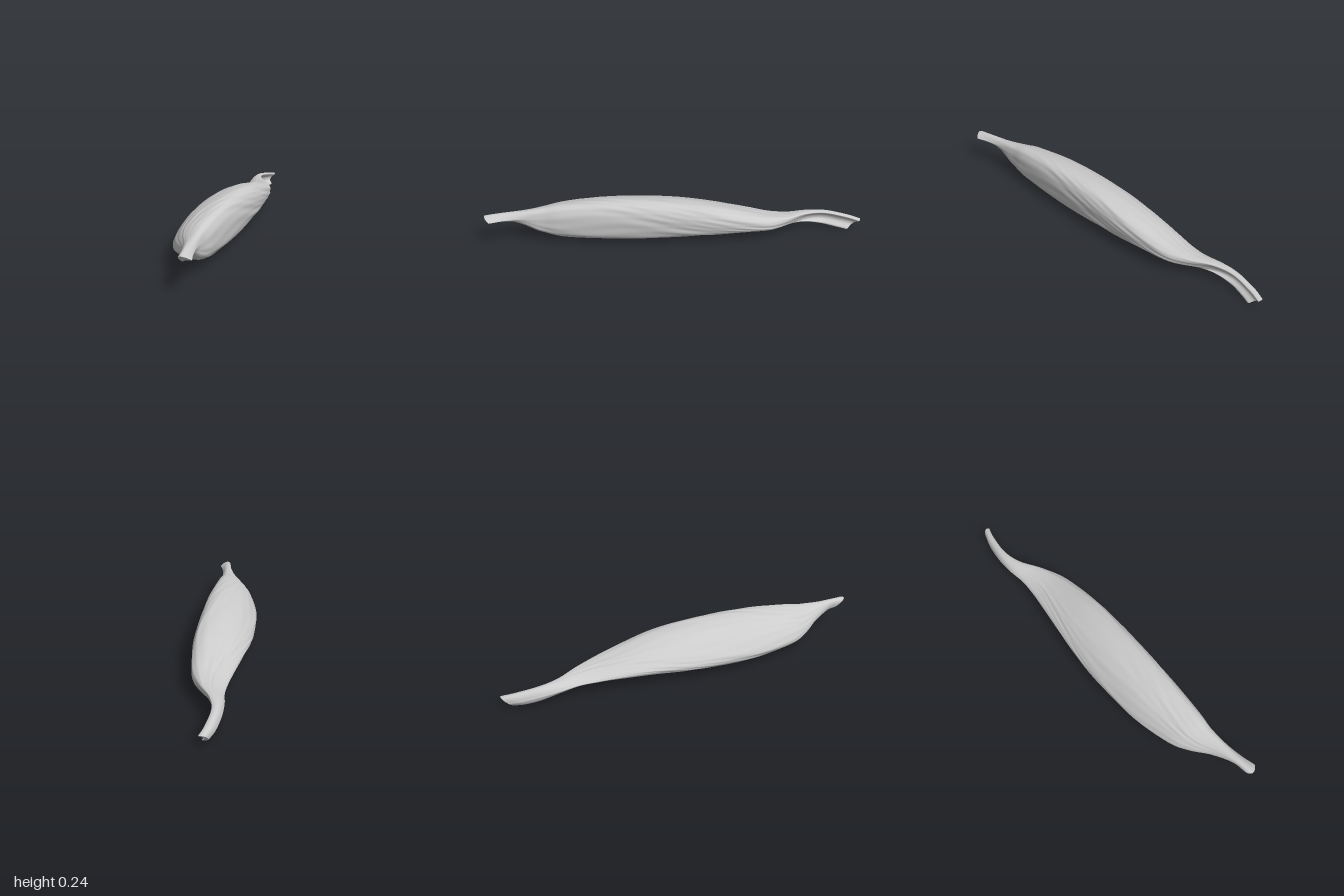
import * as THREE from 'three';

// Stations along the length: z, xMin, xMax, yMin, yMax
const STATIONS = [
  [-0.965, -0.14, -0.097, 0.003, 0.065], [-0.9, -0.157, -0.112, 0.008, 0.08],
  [-0.8, -0.166, -0.118, 0.022, 0.1], [-0.7, -0.16, -0.085, 0.042, 0.108],
  [-0.6, -0.143, -0.015, 0.054, 0.115], [-0.5, -0.142, 0.035, 0.055, 0.131],
  [-0.4, -0.15, 0.062, 0.054, 0.155], [-0.2, -0.166, 0.095, 0.044, 0.205],
  [0, -0.175, 0.11, 0.027, 0.235], [0.2, -0.166, 0.12, 0.018, 0.246],
  [0.4, -0.14, 0.126, 0.018, 0.243], [0.6, -0.085, 0.127, 0.034, 0.224],
  [0.7, -0.03, 0.122, 0.06, 0.207], [0.8, 0.045, 0.13, 0.105, 0.196],
  [0.9, 0.096, 0.152, 0.13, 0.189], [0.97, 0.112, 0.175, 0.136, 0.181],
];

// Matching cross-sections in a unit box, from the left over the top
const BACK = [[0, .45], [.03, .6], [.1, .75], [.25, .9], [.5, 1], [.8, 1], [1, .93],
  [.85, .8], [.6, .65], [.5, .45], [.6, .3], [.9, .12], [.8, 0], [.25, .15]];
const BELLY = [[0, .27], [.03, .42], [.15, .62], [.3, .8], [.5, .93], [.75, 1], [.92, .93],
  [1, .7], [1, .4], [.95, .15], [.8, .02], [.55, 0], [.3, .07], [.08, .14]];
const FRONT = [[0, .3], [0, .55], [.05, .75], [.15, .9], [.35, 1], [.6, .93], [.8, .78],
  [1, .5], [.8, .45], [.6, .4], [.4, .3], [.25, .15], [.1, 0], [.02, .1]];

const ROWS = 220, SIDES = 96;
const { smoothstep } = THREE.MathUtils;

const spline = (points, closed) => new THREE.CatmullRomCurve3(points, closed, 'catmullrom', 0.5);
const sectionCurve = (s) => spline(s.map(([u, v]) => new THREE.Vector3(u, v, 0)), true);

// Low ridges that run obliquely along the fibres
function fibre(angle, z) {
  const bend = angle + 0.9 * z + 0.25 * Math.sin(5 * z + 2 * angle);
  return 0.5 * Math.sin(9 * bend + 3 * z) * Math.sin(6 * z + 3 * angle)
    + 0.5 * Math.sin(17 * bend) * Math.sin(9 * z - 4 * angle + 1);
}

function buildRings() {
  const low = spline(STATIONS.map(([z, x, , y]) => new THREE.Vector3(x, y, z)), false);
  const high = spline(STATIONS.map(([z, , x, , y]) => new THREE.Vector3(x, y, z)), false);
  const curves = [BACK, BELLY, FRONT].map(sectionCurve);
  const rings = [];
  for (let i = 0; i <= ROWS; i++) {
    const lo = low.getPoint(i / ROWS), hi = high.getPoint(i / ROWS), z = lo.z;
    const back = 1 - smoothstep(z, -0.85, -0.5), front = smoothstep(z, 0.72, 0.95);
    const slant = 0.07 * (1 - smoothstep(z, -0.965, -0.75)) * -1 + 0.06 * smoothstep(z, 0.8, 0.97);
    const ridge = 0.0028 * smoothstep(z, -0.8, -0.4) * (1 - smoothstep(z, 0.6, 0.9));
    const ring = [];
    for (let j = 0; j < SIDES; j++) {
      const t = j / SIDES;
      const [b, m, f] = curves.map((c) => c.getPoint(t));
      const p = m.multiplyScalar(1 - back - front).addScaledVector(b, back).addScaledVector(f, front);
      const bump = ridge * fibre(t * Math.PI * 2, z);
      const dx = p.x - 0.5, dy = p.y - 0.5, len = Math.hypot(dx, dy) || 1;
      ring.push(new THREE.Vector3(
        lo.x + p.x * (hi.x - lo.x) + bump * dx / len,
        lo.y + p.y * (hi.y - lo.y) + bump * dy / len,
        z + slant * (p.y - 0.5)));
    }
    rings.push(ring);
  }
  return rings;
}

// Skin stretched over successive rings
function loft(rings) {
  const index = [];
  for (let i = 0; i < ROWS; i++) {
    for (let j = 0; j < SIDES; j++) {
      const k = (j + 1) % SIDES;
      const a = i * SIDES + j, b = i * SIDES + k, c = a + SIDES, d = b + SIDES;
      index.push(a, c, b, b, c, d);
    }
  }
  const geometry = new THREE.BufferGeometry().setFromPoints(rings.flat());
  geometry.setIndex(index);
  geometry.computeVertexNormals();
  return geometry;
}

// Cut face that closes one end
function endFace(ring) {
  const outline = ring.map((p) => new THREE.Vector2(p.x, p.y));
  const geometry = new THREE.BufferGeometry().setFromPoints(ring);
  geometry.setIndex(THREE.ShapeUtils.triangulateShape(outline, []).flat());
  geometry.computeVertexNormals();
  return geometry;
}

export function createModel() {
  const group = new THREE.Group();
  group.name = 'muscle';
  const material = new THREE.MeshStandardMaterial({ color: 0xcccccc, side: THREE.DoubleSide });
  const add = (name, geometry) => {
    const mesh = new THREE.Mesh(geometry, material);
    mesh.name = name;
    group.add(mesh);
  };
  const rings = buildRings();
  add('muscleBelly', loft(rings));
  add('backTendonEnd', endFace(rings[0]));
  add('frontTendonEnd', endFace(rings[ROWS]));
  return group;
}
